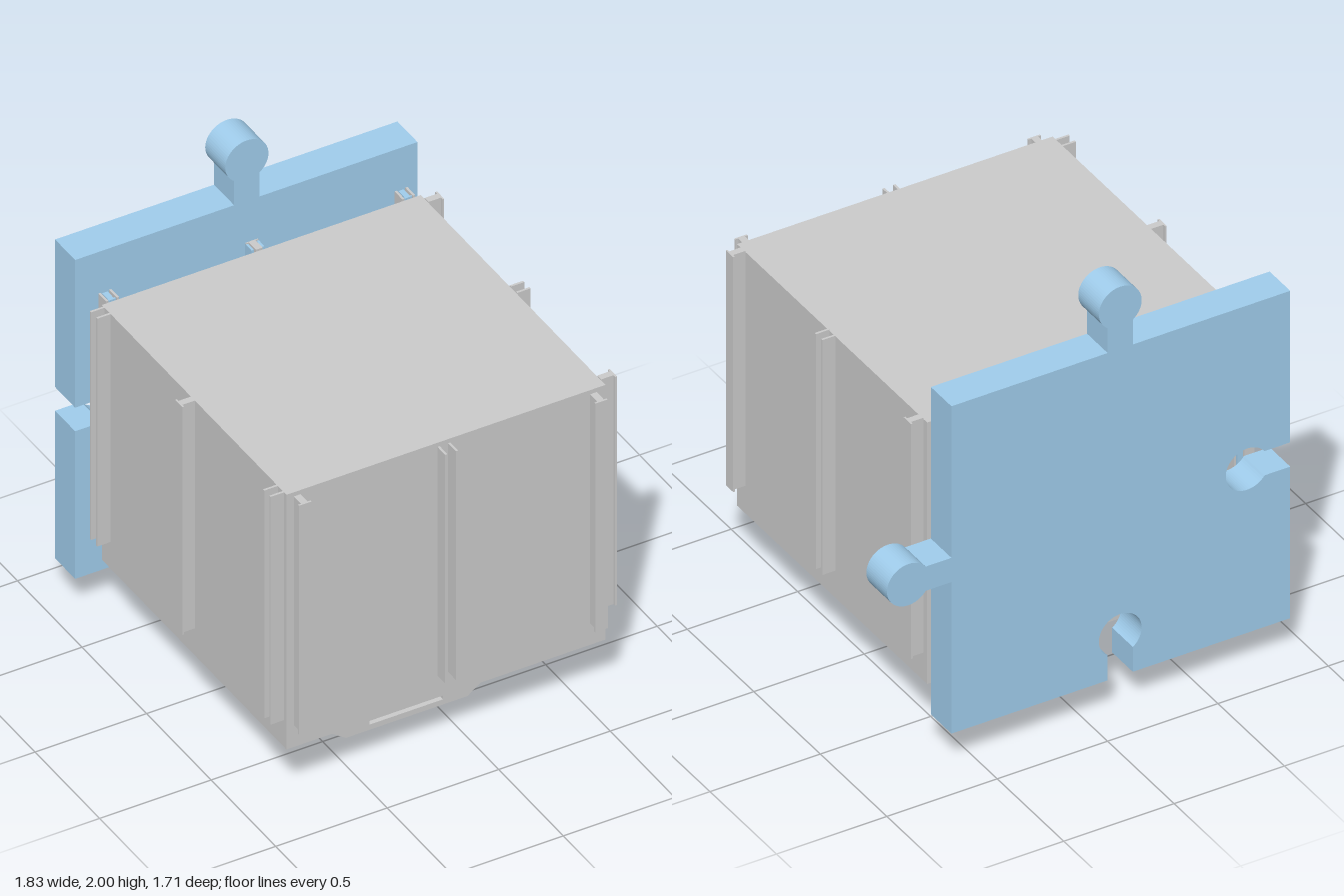
import * as THREE from 'three';

const grey = new THREE.MeshStandardMaterial({ color: 0xcccccc });
const blue = new THREE.MeshStandardMaterial({ color: 0xa0cdec });

function add(parent, name, geometry, material = grey) {
  const mesh = new THREE.Mesh(geometry, material);
  mesh.name = name;
  parent.add(mesh);
  return mesh;
}

// Box given by its min and max on each axis
function box(parent, name, [x0, x1], [y0, y1], [z0, z1], material) {
  const g = new THREE.BoxGeometry(x1 - x0, y1 - y0, z1 - z0);
  g.translate((x0 + x1) / 2, (y0 + y1) / 2, (z0 + z1) / 2);
  return add(parent, name, g, material);
}

const polygon = pts => pts.map(p => new THREE.Vector2(...p));
const rect = (x0, x1, y0, y1) => polygon([[x0, y0], [x1, y0], [x1, y1], [x0, y1]]);
const extrude = (shape, depth) =>
  new THREE.ExtrudeGeometry(shape, { depth, bevelEnabled: false, curveSegments: 24 });

// T-shaped rail standing out along local +z, centred on local x
function teeRail(parent, x, [y0, y1], depth, material) {
  box(parent, 'teeStem', [x - 0.015, x + 0.015], [y0, y1], [0, depth - 0.008], material);
  box(parent, 'teeCap', [x - 0.028, x + 0.028], [y0, y1], [depth - 0.008, depth], material);
}

// Pair of thin plates that receives a T rail
function slotRail(parent, x, [y0, y1], depth, material) {
  for (const s of [-1, 1]) {
    const c = x + s * 0.024;
    box(parent, 'slotPlate', [c - 0.005, c + 0.005], [y0, y1], [0, depth], material);
  }
}

// Outline of a puzzle tile: knobs on top and +x, sockets on the bottom and -x
function puzzleShape() {
  const [l, r, b, t] = [-0.915, 0.62, 0.17, 1.71];
  const cx = -0.145, cy = 0.94, n = 0.057, rad = 0.097, reach = 0.195;
  const a = Math.asin(n / rad), H = Math.PI / 2;
  const s = new THREE.Shape();
  s.moveTo(l, b);
  s.lineTo(cx - n, b);
  s.absarc(cx, b + reach, rad, -H - a, -H + a, true);
  s.lineTo(cx + n, b);
  s.lineTo(r, b);
  s.lineTo(r, cy - n);
  s.absarc(r + reach, cy, rad, Math.PI + a, 3 * Math.PI - a, false);
  s.lineTo(r, cy + n);
  s.lineTo(r, t);
  s.lineTo(cx + n, t);
  s.absarc(cx, t + reach, rad, -H + a, 3 * H - a, false);
  s.lineTo(cx - n, t);
  s.lineTo(l, t);
  s.lineTo(l, cy + n);
  s.absarc(l + reach, cy, rad, Math.PI - a, -Math.PI + a, true);
  s.lineTo(l, cy - n);
  s.closePath();
  return s;
}

export function createModel() {
  const model = new THREE.Group();
  model.name = 'storageCube';

  // Cube body, with a shallow recess in its underside
  const body = new THREE.Group();
  body.name = 'body';
  model.add(body);
  box(body, 'bodyBlock', [-0.83, 0.6], [0.33, 1.5], [-0.64, 0.79]);
  const rim = new THREE.Shape(rect(-0.83, 0.6, -0.79, 0.64));
  rim.holes.push(new THREE.Path(rect(-0.74, 0.47, -0.6, 0.42)));
  add(body, 'bodyRim', extrude(rim, 0.06).rotateX(-Math.PI / 2).translate(0, 0.27, 0));

  // Drawer block below the body, with an inset front
  const drawer = new THREE.Group();
  drawer.name = 'drawer';
  model.add(drawer);
  box(drawer, 'drawerBlock', [-0.685, 0.41], [0.16, 0.33], [-0.36, 0.49]);
  const face = new THREE.Shape(rect(-0.685, 0.41, 0.16, 0.33));
  face.holes.push(new THREE.Path(rect(-0.635, 0.355, 0.21, 0.27)));
  add(drawer, 'drawerFrame', extrude(face, 0.05).translate(0, 0, 0.49));

  // Pull handle
  const grip = new THREE.Shape(polygon([[-0.525, 0.16], [-0.525, 0.08], [-0.41, 0],
    [0.135, 0], [0.245, 0.08], [0.245, 0.16]]));
  grip.holes.push(new THREE.Path(rect(-0.305, 0.025, 0.025, 0.138)));
  add(drawer, 'handle', extrude(grip, 0.105).translate(0, 0, 0.42));

  // Connector rails on the four sides; local x runs along each face
  const sides = [
    { name: 'frontRails', pos: [0, 0, 0.79], turn: 0, y: [0.375, 1.48], tees: [-0.782, 0.546], slots: [-0.124] },
    { name: 'leftRails', pos: [0.6, 0, 0], turn: 1, y: [0.4, 1.505], tees: [0.595, -0.742], slots: [-0.077] },
    { name: 'backRails', pos: [0, 0, -0.64], turn: 2, y: [0.4, 1.51], tees: [0.124], slots: [0.782, -0.546] },
    { name: 'rightRails', pos: [-0.83, 0, 0], turn: 3, y: [0.4, 1.5], tees: [0.065], slots: [-0.6, 0.742] },
  ];
  for (const { name, pos, turn, y, tees, slots } of sides) {
    const g = new THREE.Group();
    g.name = name;
    g.position.set(...pos);
    g.rotation.y = turn * Math.PI / 2;
    tees.forEach(x => teeRail(g, x, y, 0.063));
    slots.forEach(x => slotRail(g, x, y, 0.06));
    model.add(g);
  }

  // Puzzle panel behind the cube, with matching rails
  const panel = new THREE.Group();
  panel.name = 'puzzlePanel';
  model.add(panel);
  add(panel, 'puzzleTile', extrude(puzzleShape(), 0.155).translate(0, 0, -0.855), blue);
  const panelRails = new THREE.Group();
  panelRails.name = 'panelRails';
  panelRails.position.z = -0.7;
  for (const x of [-0.782, 0.546]) {
    box(panelRails, 'panelTeeStem', [x - 0.012, x + 0.012], [0.4, 1.505], [0, 0.055], blue);
    box(panelRails, 'panelTeeCap', [x - 0.018, x + 0.018], [0.4, 1.505], [0.047, 0.055], blue);
  }
  slotRail(panelRails, -0.124, [0.4, 1.505], 0.05, blue);
  panel.add(panelRails);

  return model;
}
